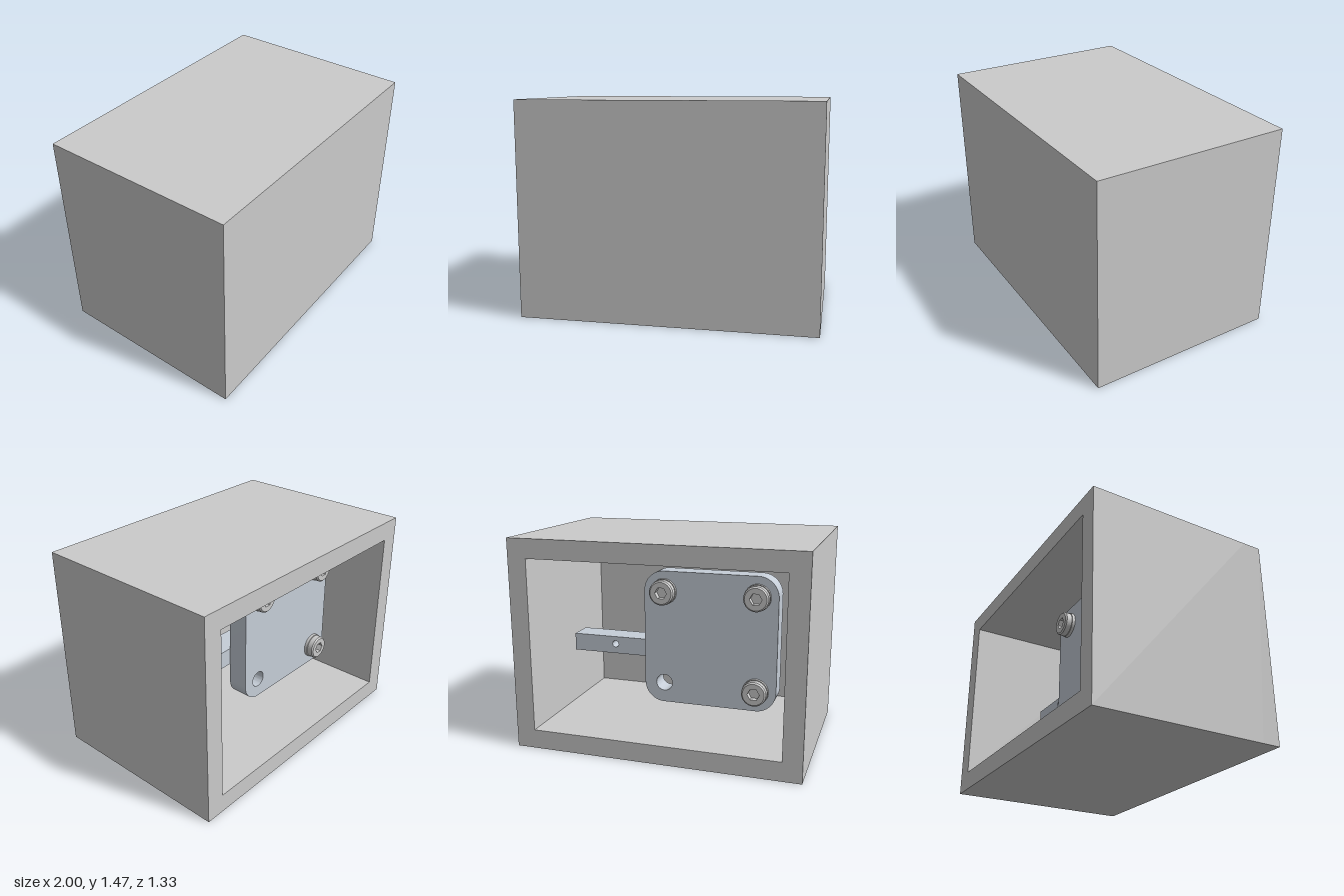
import * as THREE from 'three';
import { toCreasedNormals } from 'three/addons/utils/BufferGeometryUtils.js';

const grey = new THREE.MeshStandardMaterial({ color: 0xcccccc });
const steel = new THREE.MeshStandardMaterial({ color: 0xc6ced8 });
const blue = new THREE.MeshStandardMaterial({ color: 0xa8dcf4 });

// Rounded rectangle given by its edges
function rect(x0, y0, x1, y1, r = 0) {
  const s = new THREE.Shape();
  if (!r) {
    s.moveTo(x0, y0).lineTo(x1, y0).lineTo(x1, y1).lineTo(x0, y1).closePath();
    return s;
  }
  s.absarc(x1 - r, y0 + r, r, -Math.PI / 2, 0);
  s.absarc(x1 - r, y1 - r, r, 0, Math.PI / 2);
  s.absarc(x0 + r, y1 - r, r, Math.PI / 2, Math.PI);
  s.absarc(x0 + r, y0 + r, r, Math.PI, Math.PI * 1.5);
  s.closePath();
  return s;
}

function circle(r, x = 0, y = 0) {
  return new THREE.Shape().absarc(x, y, r, 0, Math.PI * 2);
}

function hexagon(r) {
  const pts = [];
  for (let i = 0; i < 6; i++) {
    const a = (i * Math.PI) / 3;
    pts.push(new THREE.Vector2(r * Math.cos(a), r * Math.sin(a)));
  }
  return new THREE.Shape(pts);
}

// Extrude a shape with holes between two depths
function slab(name, shape, holes, z0, z1, material) {
  shape.holes.push(...holes);
  const geo = new THREE.ExtrudeGeometry(shape, { depth: z1 - z0, bevelEnabled: false, curveSegments: 24 });
  geo.translate(0, 0, z0);
  const mesh = new THREE.Mesh(toCreasedNormals(geo, 0.5), material);
  mesh.name = name;
  return mesh;
}

// Turned part along z; profile points are [radius, z] with z decreasing
function turned(name, profile, material) {
  const geo = new THREE.LatheGeometry(profile.map(([r, z]) => new THREE.Vector2(r, -z)), 32);
  geo.rotateX(-Math.PI / 2);
  const mesh = new THREE.Mesh(toCreasedNormals(geo, 0.5), material);
  mesh.name = name;
  return mesh;
}

const plateBack = -0.273, plateFront = -0.13;

// Socket-head screw with washer behind the plate and a nut in front of it
function fastener(x, y) {
  const g = new THREE.Group();
  g.name = 'screw';
  g.add(slab('washer', circle(0.09), [circle(0.055)], plateBack - 0.022, plateBack, grey));
  g.add(turned('screwHead', [
    [0.055, plateBack - 0.022], [0.085, plateBack - 0.024], [0.085, plateBack - 0.062],
    [0.075, plateBack - 0.072], [0.05, plateBack - 0.072],
  ], grey));
  g.add(slab('hexSocket', circle(0.052), [hexagon(0.042)], plateBack - 0.072, plateBack - 0.03, grey));
  const shank = new THREE.Mesh(new THREE.CylinderGeometry(0.055, 0.055, 0.33, 24).rotateX(Math.PI / 2), grey);
  shank.name = 'screwShank';
  shank.position.z = plateBack - 0.03 + 0.165;
  g.add(shank);
  g.add(slab('nut', hexagon(0.112), [circle(0.054)], plateFront, -0.01, blue));
  g.position.set(x, y, 0);
  return g;
}

export function createModel() {
  const model = new THREE.Group();

  // Housing: four walls open at the back, closed by a front panel
  const W = 1, H = 1.467, D = 0.667, T = 0.133;
  const housing = new THREE.Group();
  housing.name = 'housing';
  housing.add(slab('walls', rect(-W, 0, W, H), [rect(-W + T, T, W - T, H - T)], -D, D - T, grey));
  housing.add(slab('frontPanel', rect(-W, 0, W, H), [], D - T, D, grey));
  model.add(housing);

  // Square plate with a hole in each corner
  const cx = -0.28, cy = 0.765, half = 0.466, pitch = 0.325;
  const corners = [[1, 1], [-1, 1], [-1, -1], [1, -1]].map(([i, j]) => [cx + i * pitch, cy + j * pitch]);
  model.add(slab('plate', rect(cx - half, cy - half, cx + half, cy + half, 0.14),
    corners.map(([x, y]) => circle(0.058, x, y)), plateBack, plateFront, steel));

  // Three corners are screwed, the last is left open
  for (const [x, y] of corners.slice(0, 3)) model.add(fastener(x, y));

  // Bar sliding along the front of the plate, with a small cross hole
  model.add(slab('bar', rect(-0.6, 0.575, 0.79, 0.7), [circle(0.024, 0.47, 0.645)], plateFront, 0.05, steel));

  return model;
}
